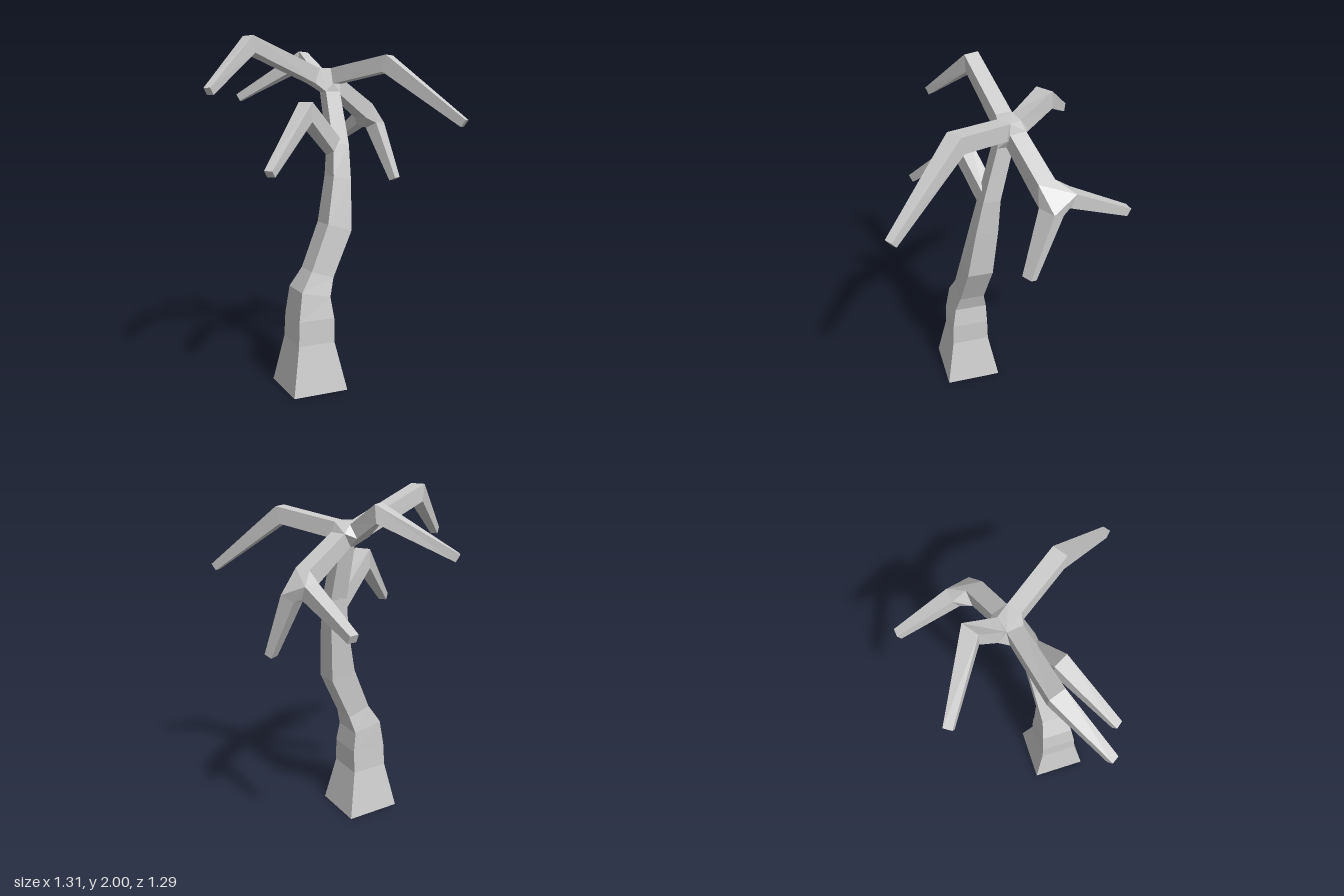
import * as THREE from 'three';
import { ConvexGeometry } from 'three/addons/geometries/ConvexGeometry.js';

const V = (x, y, z) => new THREE.Vector3(x, y, z);
const UP = V(0, 1, 0);
const material = new THREE.MeshStandardMaterial({ color: 0xcccccc, flatShading: true });

// Skin a list of four-cornered rings, with optional end caps
function loft(rings, capStart, capEnd) {
  const tris = [];
  const quad = (a, b, c, d) => tris.push(a, b, c, a, c, d);
  for (let r = 0; r < rings.length - 1; r++) {
    const a = rings[r], b = rings[r + 1];
    for (let i = 0; i < 4; i++) {
      const j = (i + 1) % 4;
      quad(a[i], a[j], b[j], b[i]);
    }
  }
  if (capStart) quad(...[...rings[0]].reverse());
  if (capEnd) quad(...rings[rings.length - 1]);
  const geometry = new THREE.BufferGeometry().setFromPoints(tris);
  geometry.computeVertexNormals();
  return geometry;
}

// Square rings along a path of [x, y, z, width, height], mitred at each bend
function limbRings(path) {
  const pts = path.map((p) => V(p[0], p[1], p[2]));
  return pts.map((p, i) => {
    const tangent = V(0, 0, 0);
    if (i > 0) tangent.add(p.clone().sub(pts[i - 1]).normalize());
    if (i < pts.length - 1) tangent.add(pts[i + 1].clone().sub(p).normalize());
    tangent.normalize();
    const side = UP.clone().cross(tangent).normalize();
    const rise = tangent.clone().cross(side);
    const w = path[i][3] / 2, h = path[i][4] / 2;
    return [[-1, -1], [1, -1], [1, 1], [-1, 1]].map(([s, u]) =>
      p.clone().addScaledVector(side, s * w).addScaledVector(rise, u * h));
  });
}

export function createModel() {
  const tree = new THREE.Group();
  tree.name = 'bareTree';
  const add = (name, geometry) => {
    const mesh = new THREE.Mesh(geometry, material);
    mesh.name = name;
    tree.add(mesh);
  };

  // Trunk rings: left x, right x, left y, right y, back z, front z
  const trunk = [
    [-0.21, 0.12, 0, 0, -0.045, 0.285],
    [-0.16, 0.06, 0.28, 0.28, 0.01, 0.235],
    [-0.155, 0.06, 0.42, 0.42, 0.015, 0.23],
    [-0.13, 0.045, 0.58, 0.54, 0.02, 0.21],
    [-0.06, 0.075, 0.69, 0.645, 0.04, 0.185],
    [0.05, 0.2, 0.95, 0.91, 0.02, 0.165],
    [0.105, 0.215, 1.22, 1.2, -0.005, 0.12],
    [0.12, 0.22, 1.4, 1.4, -0.015, 0.08],
    [0.11, 0.2, 1.7, 1.7, -0.085, 0],
  ].map(([x0, x1, y0, y1, z0, z1]) =>
    [V(x0, y0, z0), V(x0, y0, z1), V(x1, y1, z1), V(x1, y1, z0)]);
  add('trunk', loft(trunk, true, false));

  // Branches, each running from its root to a narrow tip
  const limbs = {
    leftBranch: [[0.06, 1.79, -0.065, 0.09, 0.09], [-0.35, 1.95, -0.01, 0.09, 0.095], [-0.635, 1.69, 0.18, 0.045, 0.045]],
    backBranch: [[0.115, 1.79, -0.145, 0.09, 0.085], [0.085, 1.895, -0.28, 0.1, 0.095], [-0.25, 1.67, -0.505, 0.05, 0.045]],
    frontBranch: [[0.185, 1.79, -0.03, 0.085, 0.09], [0.37, 1.85, 0.25, 0.09, 0.095], [0.63, 1.525, 0.62, 0.045, 0.045]],
    rightBranch: [[0.2, 1.745, -0.095, 0.095, 0.085], [0.445, 1.59, -0.165, 0.1, 0.1]],
    rightBackFork: [[0.49, 1.54, -0.29, 0.085, 0.08], [0.455, 1.385, -0.63, 0.05, 0.045]],
    rightFrontFork: [[0.535, 1.5, -0.18, 0.1, 0.08], [0.61, 1.17, -0.055, 0.06, 0.045]],
    lowerBranch: [[0.155, 1.37, 0.03, 0.085, 0.09], [-0.07, 1.585, 0.12, 0.095, 0.11], [-0.37, 1.27, 0.35, 0.05, 0.045]],
  };
  const rings = {};
  for (const [name, path] of Object.entries(limbs)) {
    rings[name] = limbRings(path);
    add(name, loft(rings[name], false, name !== 'rightBranch'));
  }

  // Crown joining the trunk top to the four upper branches
  add('crown', new ConvexGeometry([
    ...trunk[trunk.length - 1],
    ...['leftBranch', 'backBranch', 'frontBranch', 'rightBranch'].flatMap((n) => rings[n][0]),
  ]));

  // Joint where the right branch splits in two
  add('forkJoint', new ConvexGeometry([
    ...rings.rightBranch[1], ...rings.rightBackFork[0], ...rings.rightFrontFork[0],
  ]));

  return tree;
}
